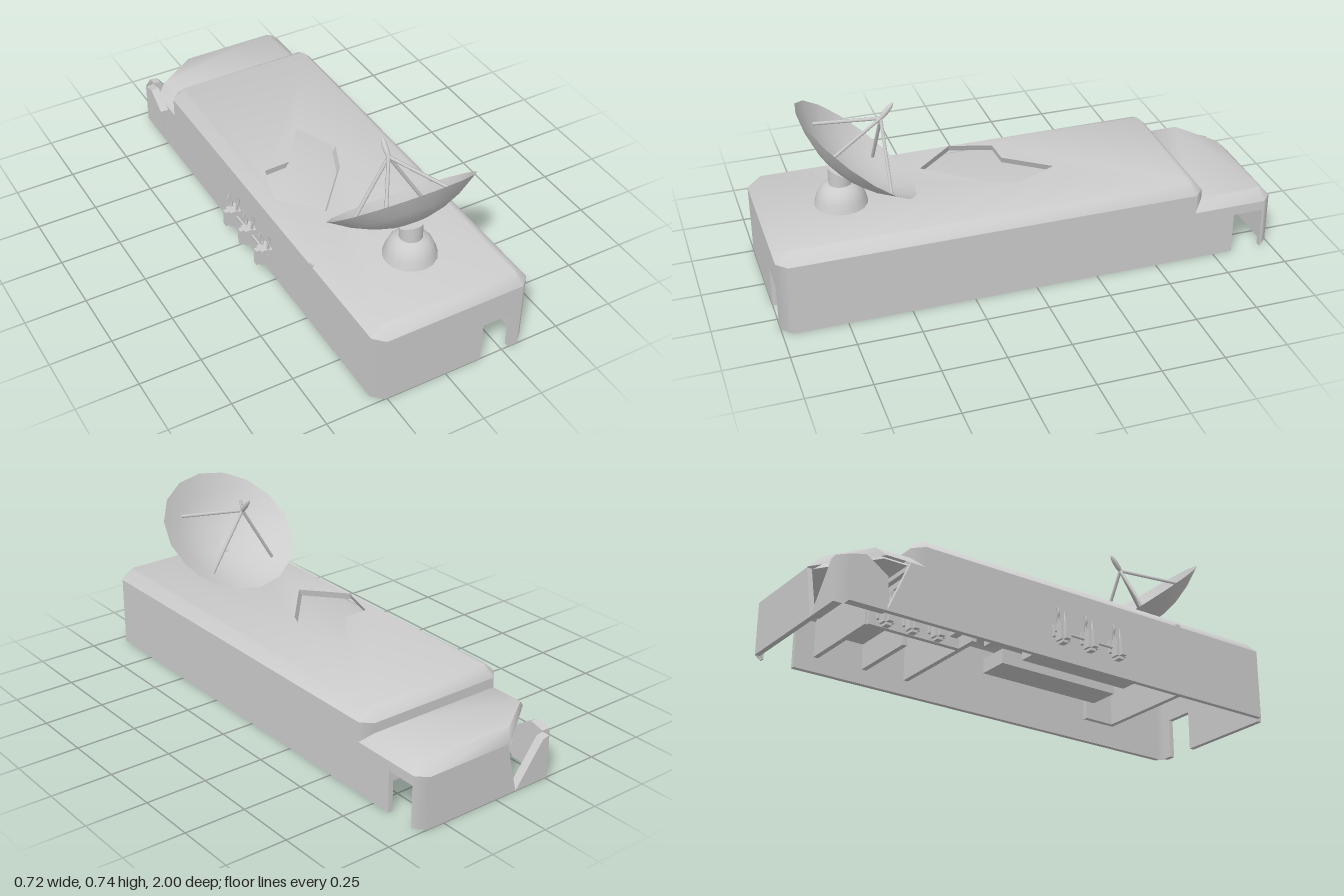
import * as THREE from 'three';
import { mergeGeometries, toCreasedNormals } from 'three/addons/utils/BufferGeometryUtils.js';

const V = (x, y, z) => new THREE.Vector3(x, y, z);

export function createModel() {
  const model = new THREE.Group();
  const grey = new THREE.MeshStandardMaterial({ color: 0xcccccc, side: THREE.DoubleSide });

  function add(name, geo, parent = model, pos = [0, 0, 0]) {
    const mesh = new THREE.Mesh(geo, grey);
    mesh.name = name;
    mesh.position.set(...pos);
    parent.add(mesh);
    return mesh;
  }
  const toShape = pts => new THREE.Shape(pts.map(p => new THREE.Vector2(...p)));
  const box = (name, w, h, d, pos, parent) => add(name, new THREE.BoxGeometry(w, h, d), parent, pos);

  // Rod between two points
  function rod(name, a, b, r, parent) {
    const mesh = add(name, new THREE.CylinderGeometry(r, r, a.distanceTo(b), 6), parent);
    mesh.position.copy(a).lerp(b, 0.5);
    mesh.quaternion.setFromUnitVectors(V(0, 1, 0), b.clone().sub(a).normalize());
  }

  // Upright panel from a to b (x, z); the profile is (distance, height), thickness goes inward
  function wall(name, a, b, profile, depth = 0.02) {
    const geo = new THREE.ExtrudeGeometry(toShape(profile), { depth, bevelEnabled: false });
    geo.translate(0, 0, -depth);
    add(name, geo, model, [a[0], 0, a[1]]).rotation.y = Math.atan2(a[1] - b[1], b[0] - a[0]);
  }

  // Smooth-shaded chamfer between two walls; quarter 0 faces +x +z, then turns to the back
  function corner(name, x, z, y0, y1, quarter) {
    for (const r of [0.04, 0.022]) {
      const geo = new THREE.CylinderGeometry(r, r, y1 - y0, 1, 1, true, quarter * Math.PI / 2, Math.PI / 2);
      add(name, geo, model, [x, (y0 + y1) / 2, z]);
    }
  }

  // Strip between two loops of (x, z) points at two heights
  function strip(low, y0, high, y1) {
    const pos = [], n = low.length;
    for (let i = 0; i < n; i++) {
      const j = (i + 1) % n;
      const a = [low[i][0], y0, low[i][1]], b = [low[j][0], y0, low[j][1]];
      const c = [high[j][0], y1, high[j][1]], d = [high[i][0], y1, high[i][1]];
      pos.push(...a, ...b, ...c, ...a, ...c, ...d);
    }
    const geo = new THREE.BufferGeometry();
    geo.setAttribute('position', new THREE.Float32BufferAttribute(pos, 3));
    geo.computeVertexNormals();
    return geo;
  }

  // Flat roof with a sloping border, shaded smoothly across the edge
  function roof(name, low, y0, high, y1, hole) {
    const shape = toShape(high.map(([x, z]) => [x, -z]));
    if (hole) shape.holes.push(new THREE.Path(hole.map(([x, z]) => new THREE.Vector2(x, -z))));
    const top = new THREE.ShapeGeometry(shape).toNonIndexed();
    top.deleteAttribute('uv');
    top.rotateX(-Math.PI / 2).translate(0, y1, 0);
    add(name, toCreasedNormals(mergeGeometries([strip(low, y0, high, y1), top]), 0.9));
  }
  const octagon = (x0, x1, z0, z1, c) => [[x0 + c, z1], [x1 - c, z1], [x1, z1 - c], [x1, z0 + c],
    [x1 - c, z0], [x0 + c, z0], [x0, z0 + c], [x0, z1 - c]];

  // Outer walls with two doorways and a broken rear corner
  wall('frontWall', [-0.26, 1], [0.32, 1], [[0, 0], [0.415, 0], [0.415, 0.167], [0.54, 0.167],
    [0.54, 0], [0.58, 0], [0.58, 0.29], [0, 0.29]]);
  wall('leftWall', [0.36, 0.96], [0.36, -0.96], [[0, 0], [1.79, 0], [1.79, 0.17], [1.915, 0.17],
    [1.915, 0], [1.92, 0], [1.92, 0.21], [1.62, 0.21], [1.62, 0.29], [0, 0.29]]);
  wall('rearWall', [0.32, -1], [-0.26, -1], [[0, 0], [0.42, 0], [0.37, 0.21], [0, 0.21]]);
  wall('brokenRearWall', [0.32, -1], [-0.26, -1], [[0.42, 0], [0.58, 0], [0.58, 0.175], [0.55, 0.17]], 0.035);
  wall('brokenRightWall', [-0.3, -0.96], [-0.3, 0.96], [[0, 0], [0.15, 0], [0.15, 0.13], [0.06, 0.19], [0, 0.175]], 0.035);
  wall('rightWall', [-0.3, -0.96], [-0.3, 0.96], [[0.15, 0], [1.92, 0], [1.92, 0.29], [0.3, 0.29], [0.3, 0.21], [0.24, 0.21]]);
  corner('frontCorner', 0.32, 0.96, 0, 0.29, 0);
  corner('frontCorner', -0.26, 0.96, 0, 0.29, 3);
  corner('rearCorner', 0.32, -0.96, 0, 0.21, 1);
  corner('brokenCorner', -0.26, -0.96, 0, 0.175, 2);
  wall('roofStep', [0.32, -0.7], [-0.26, -0.7], [[0, 0.21], [0.58, 0.21], [0.58, 0.29], [0, 0.29]]);
  corner('roofStepCorner', 0.32, -0.66, 0.21, 0.29, 1);
  corner('roofStepCorner', -0.26, -0.66, 0.21, 0.29, 2);

  // Main roof and its ceiling, with a jagged hole
  const hole = [[0.03, -0.18], [0.11, 0], [0.06, 0.12], [-0.12, 0.33], [-0.26, 0.17], [-0.21, 0], [-0.1, -0.005]];
  const holeLow = hole.map(([x, z]) => [x - 0.012, z - 0.004]);
  roof('roof', octagon(-0.3, 0.36, -0.7, 1, 0.04), 0.29, octagon(-0.26, 0.32, -0.66, 0.96, 0.015), 0.333, hole);
  roof('ceiling', octagon(-0.28, 0.34, -0.68, 0.98, 0.035), 0.285, octagon(-0.25, 0.31, -0.65, 0.95, 0.012), 0.305, holeLow);
  add('holeEdge', strip(holeLow, 0.305, hole, 0.333));

  // Lower rear roof, cut off at the broken corner
  roof('rearRoof', [[0.36, -0.66], [0.36, -0.96], [0.32, -1], [-0.06, -1], [-0.3, -0.82], [-0.3, -0.66]], 0.21,
    [[0.32, -0.66], [0.32, -0.945], [0.305, -0.96], [-0.09, -0.96], [-0.26, -0.845], [-0.26, -0.66]], 0.25);
  roof('rearCeiling', [[0.34, -0.66], [0.34, -0.95], [0.31, -0.98], [-0.06, -0.98], [-0.28, -0.82], [-0.28, -0.66]], 0.205,
    [[0.31, -0.66], [0.31, -0.94], [0.3, -0.95], [-0.08, -0.95], [-0.25, -0.835], [-0.25, -0.66]], 0.228);

  // Fallen piece of roof below the hole
  const slab = toShape([[0.05, 0.22], [0.14, 0], [0.09, -0.14], [-0.12, -0.36], [-0.245, -0.16],
    [-0.2, -0.015], [-0.1, 0.005]]);
  const slabGeo = new THREE.ExtrudeGeometry(slab, { depth: 0.02, bevelEnabled: false }).rotateX(-Math.PI / 2);
  add('fallenSlab', slabGeo, model, [0, 0.215, 0]).rotation.z = 0.12;

  // Inner partitions, hanging beams and a low ceiling: x, z, width, depth, bottom, top
  const inner = [
    ['partition', -0.08, 0.53, 0.44, 0.02, 0, 0.3], ['partition', 0.13, 0.46, 0.02, 0.14, 0, 0.3],
    ['partition', -0.08, 0.4, 0.42, 0.02, 0.12, 0.3], ['partition', 0.1, -0.34, 0.48, 0.02, 0.06, 0.3],
    ['partition', 0.19, -0.53, 0.3, 0.02, 0.06, 0.3], ['partition', -0.04, -0.54, 0.02, 0.4, 0.06, 0.22],
    ['partition', 0.15, -0.74, 0.38, 0.02, 0.06, 0.22], ['innerCeiling', 0.15, -0.64, 0.38, 0.2, 0.165, 0.18],
    ['hangingBeam', 0.05, 0.15, 0.13, 0.55, 0.07, 0.13], ['hangingBeam', -0.13, 0.17, 0.1, 0.5, 0.07, 0.13],
    ['innerPost', -0.26, -0.35, 0.04, 0.03, 0, 0.2], ['innerPost', -0.26, -0.5, 0.04, 0.03, 0, 0.2],
  ];
  for (const [name, x, z, w, d, y0, y1] of inner) box(name, w, y1 - y0, d, [x, (y0 + y1) / 2, z]);

  // Pedestal with a neck trimmed to the slope of the dish
  const profile = [[0.105, 0.33], [0.095, 0.365], [0.084, 0.39], [0.066, 0.41], [0.044, 0.42]];
  const base = new THREE.LatheGeometry(profile.map(p => new THREE.Vector2(...p)), 16);
  add('pedestalBase', base, model, [0.03, 0, 0.685]);
  const neck = new THREE.CylinderGeometry(0.045, 0.045, 0.06, 16);
  const p = neck.attributes.position;
  for (let i = 0; i < p.count; i++) p.setY(i, p.getY(i) > 0 ? 0.466 + 0.5 * p.getZ(i) : 0.41);
  add('pedestalNeck', neck, model, [0.03, 0, 0.685]);

  // Tilted dish with struts and feed
  const dish = new THREE.Group();
  dish.name = 'dish';
  dish.position.set(0.03, 0.55, 0.615);
  dish.rotation.x = -0.71;
  model.add(dish);
  const depthAt = r => -0.103 * (1 - (r / 0.289) ** 2);
  const bowl = [0.0001, 0.07, 0.14, 0.21, 0.289].map(r => new THREE.Vector2(r, depthAt(r)));
  add('dishBowl', new THREE.LatheGeometry(bowl, 16), dish);
  const apex = V(0, 0.153, 0);
  for (const x of [-0.15, 0.15]) for (const z of [-0.155, 0.135])
    rod('feedStrut', V(x, depthAt(Math.hypot(x, z)) + 0.01, z), apex, 0.007, dish);
  const feed = add('feed', new THREE.SphereGeometry(0.045, 10, 8), dish, [0, 0.185, 0]);
  feed.scale.set(0.25, 1, 0.25);

  // Wall equipment: box with plates and bent prongs
  function wallUnit(x, z) {
    const unit = new THREE.Group();
    unit.name = 'wallUnit';
    unit.position.set(x, 0, z);
    model.add(unit);
    box('unitPlate', 0.014, 0.05, 0.06, [-0.007, 0.11, 0], unit);
    box('unitBox', 0.034, 0.07, 0.045, [-0.028, 0.1, 0], unit);
    box('unitCover', 0.018, 0.07, 0.022, [-0.053, 0.1, 0], unit);
    box('unitFoot', 0.03, 0.012, 0.025, [-0.028, 0.061, 0], unit);
    for (const s of [-1, 1]) {
      const path = new THREE.CatmullRomCurve3([V(-0.018 + s * 0.006, 0.125, s * 0.015), V(-0.018 + s * 0.003, 0.155, s * 0.018),
        V(-0.02 + s * 0.01, 0.175, s * 0.022), V(-0.018 + s * 0.009, 0.195, s * 0.024)]);
      add('unitProng', new THREE.TubeGeometry(path, 8, 0.006, 5), unit);
    }
  }
  // Three units outside, joined by a pipe, and three inside
  for (const z of [-0.07, 0.06, 0.195]) wallUnit(-0.3, z);
  rod('unitPipe', V(-0.315, 0.105, -0.1), V(-0.315, 0.105, 0.22), 0.006, model);
  for (const z of [-0.46, -0.57, -0.68]) wallUnit(-0.05, z);

  return model;
}
